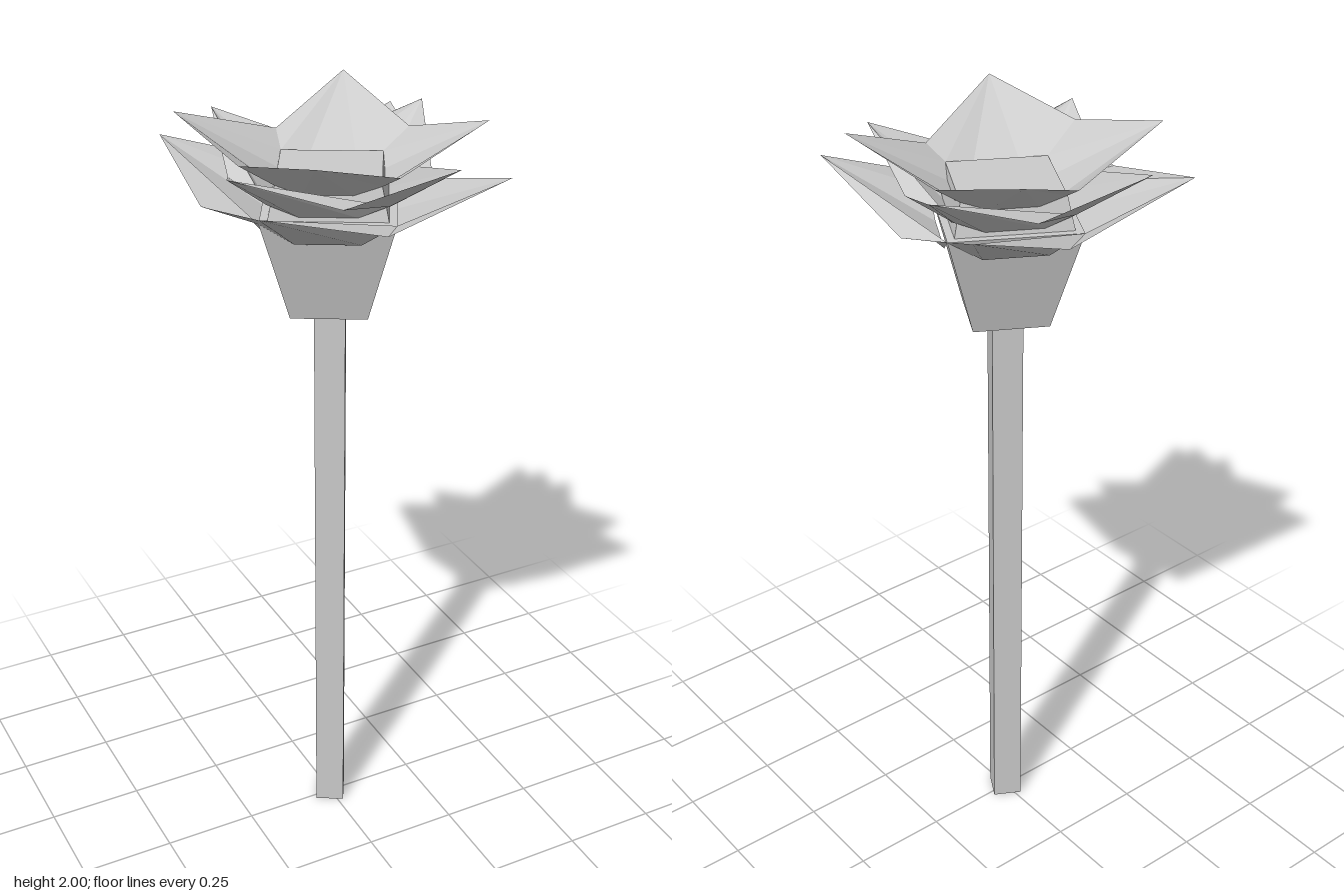
import * as THREE from 'three';

const TURN = THREE.MathUtils.degToRad(16); // shared twist of stem, cup and petal roots

export function createModel() {
  const flower = new THREE.Group();
  flower.name = 'flower';
  const solid = new THREE.MeshStandardMaterial({ color: 0xcccccc, flatShading: true });
  const thin = solid.clone();
  thin.side = THREE.DoubleSide;

  // Four-sided prism between two heights
  const prism = (name, rBottom, rTop, y0, y1) => {
    const geo = new THREE.CylinderGeometry(rTop, rBottom, y1 - y0, 4, 1, false, TURN);
    const mesh = new THREE.Mesh(geo, solid);
    mesh.name = name;
    mesh.position.y = (y0 + y1) / 2;
    flower.add(mesh);
  };
  prism('stem', 0.054, 0.054, 0, 1.54);
  prism('cup', 0.132, 0.225, 1.53, 1.795);
  prism('core', 0.2, 0.175, 1.79, 1.875);

  // Quarter turns about the vertical axis
  const quarter = ([x, z], k) => {
    for (let i = 0; i < k % 4; i++) [x, z] = [z, -x];
    return [x, z];
  };

  // One pointed petal: tip, two valleys shared with its neighbours, and a root
  // that dips below the ring
  const petal = (layer, k) => {
    const { root, rootY, drop, tip, tipY, valleys } = layer;
    const next = (k + 1) % 4;
    const a = quarter([root * Math.sin(TURN), root * Math.cos(TURN)], k);
    const b = quarter(a, 1);
    const dip = (t) => [
      THREE.MathUtils.lerp(a[0], b[0], t) * 0.98,
      rootY - drop,
      THREE.MathUtils.lerp(a[1], b[1], t) * 0.98,
    ];
    const t = quarter(tip, k);
    const points = [
      [t[0], tipY, t[1]],
      valleys[next],
      [b[0], rootY, b[1]],
      dip(0.75),
      dip(0.25),
      [a[0], rootY, a[1]],
      valleys[k],
    ];
    const geo = new THREE.BufferGeometry();
    geo.setAttribute('position', new THREE.Float32BufferAttribute(points.flat(), 3));
    const index = [];
    for (let i = 1; i < points.length - 1; i++) index.push(0, i, i + 1);
    geo.setIndex(index);
    geo.computeVertexNormals();
    const mesh = new THREE.Mesh(geo, thin);
    mesh.name = 'petal';
    return mesh;
  };

  // Rings of petals, valleys listed front, +x, back, -x
  const layers = [
    {
      name: 'lowerPetals', root: 0.225, rootY: 1.795, drop: 0.05, tip: [0.297, 0.323], tipY: 1.905,
      valleys: [[0.005, 1.8, 0.277], [0.29, 1.8, 0.015], [0.03, 1.8, -0.27], [-0.325, 1.83, -0.015]],
    },
    {
      name: 'middlePetals', root: 0.2, rootY: 1.835, drop: 0.03, tip: [0.155, 0.333], tipY: 1.95,
      valleys: [[-0.078, 1.857, 0.217], [0.223, 1.86, 0.09], [0.078, 1.857, -0.217], [-0.223, 1.86, -0.09]],
    },
    {
      name: 'upperPetals', root: 0.174, rootY: 1.875, drop: 0.025, tip: [0.31, 0.195], tipY: 2,
      valleys: [[0.065, 1.91, 0.222], [0.24, 1.925, -0.052], [-0.033, 1.91, -0.225], [-0.262, 1.94, 0.06]],
    },
  ];
  for (const layer of layers) {
    const ring = new THREE.Group();
    ring.name = layer.name;
    for (let k = 0; k < 4; k++) ring.add(petal(layer, k));
    flower.add(ring);
  }
  return flower;
}
